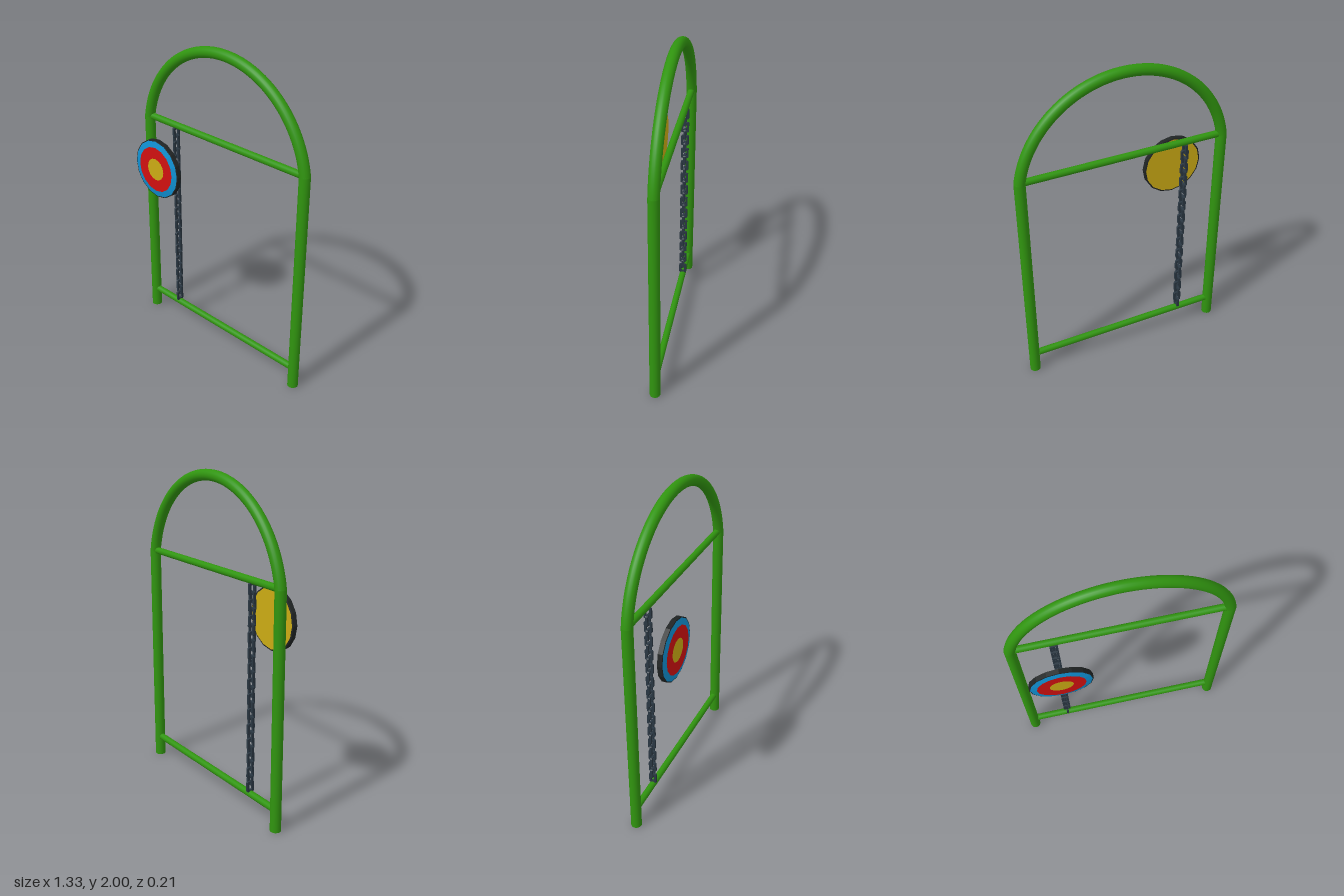
import * as THREE from 'three';

const material = (name, color, side = THREE.FrontSide) => {
  const m = new THREE.MeshStandardMaterial({ color, side });
  m.name = name;
  return m;
};

export function createModel() {
  const model = new THREE.Group();
  model.name = 'targetFrame';
  const green = material('green paint', 0x30940f);
  const steel = material('dark steel', 0x2a3742);
  const black = material('black rubber', 0x202424);
  const blue = material('blue', 0x1090d2);
  const red = material('red', 0xd01010);
  const yellow = material('yellow', 0xcbab14);

  const add = (parent, name, geometry, mat, x = 0, y = 0, z = 0) => {
    const mesh = new THREE.Mesh(geometry, mat);
    mesh.name = name;
    mesh.position.set(x, y, z);
    parent.add(mesh);
    return mesh;
  };

  // Tubular frame: two legs and an arch meeting them at a slight bend
  const frame = new THREE.Group();
  frame.name = 'frame';
  frame.position.z = -0.073;
  model.add(frame);
  const R = 0.033, legX = 0.633, legTop = 1.43, archRise = 0.537;
  const archR = (legX ** 2 + archRise ** 2) / (2 * archRise);
  const archY = legTop + archRise - archR;
  const start = Math.asin((legTop - archY) / archR);
  for (const s of [-1, 1]) {
    const side = s > 0 ? 'left' : 'right';
    add(frame, side + 'Leg', new THREE.CylinderGeometry(R, R, legTop, 24), green, s * legX, legTop / 2);
    add(frame, side + 'Bend', new THREE.SphereGeometry(R, 24, 16), green, s * legX, legTop);
  }
  const arch = new THREE.TorusGeometry(archR, R, 20, 64, Math.PI - 2 * start).rotateZ(start);
  add(frame, 'arch', arch, green, 0, archY);

  // Horizontal bars
  for (const [name, y] of [['upperBar', 1.434], ['lowerBar', 0.13]]) {
    add(frame, name, new THREE.CylinderGeometry(0.021, 0.021, 1.25, 20).rotateZ(Math.PI / 2), green, 0, y);
  }

  // Chain: chamfered rectangular links, every other one turned a quarter
  const chain = new THREE.Group();
  chain.name = 'chain';
  chain.position.set(-0.39, 0, -0.073);
  model.add(chain);
  const outline = (w, h, c) => [
    [w - c, -h], [w, c - h], [w, h - c], [w - c, h],
    [c - w, h], [-w, h - c], [-w, c - h], [c - w, -h],
  ].map(([x, y]) => new THREE.Vector2(x, y));
  const linkShape = new THREE.Shape(outline(0.024, 0.034, 0.005));
  linkShape.holes.push(new THREE.Path(outline(0.011, 0.021, 0.002).reverse()));
  const link = new THREE.ExtrudeGeometry(linkShape, { depth: 0.014, bevelEnabled: false }).translate(0, 0, -0.007);
  for (let i = 0; i < 27; i++) {
    const mesh = add(chain, 'chainLink', link, steel, 0, 0.1785 + i * 0.0465);
    if (i % 2 === 0) mesh.rotation.y = Math.PI / 2;
  }

  // Round target: dark rim, sloping blue ring, red ring, yellow centre and back
  const target = new THREE.Group();
  target.name = 'target';
  target.position.set(-0.39, 1.19, 0.065);
  model.add(target);
  const N = 16;
  // Flat-sided turned strip between (radius, z) points, axis along z
  const strip = (points) => {
    const g = new THREE.LatheGeometry(points.map(([r, z]) => new THREE.Vector2(r, z)), N).rotateX(Math.PI / 2).toNonIndexed();
    g.computeVertexNormals();
    return g;
  };
  add(target, 'rim', strip([[0.181, 0], [0.19, 0.003], [0.19, 0.031], [0.184, 0.033]]), black);
  add(target, 'blueRing', strip([[0.184, 0.033], [0.146, 0.041]]), blue);
  // Lathe segments start on the z-axis, so the flat discs share corners at 16 sides
  add(target, 'redRing', new THREE.RingGeometry(0.071, 0.146, N), red, 0, 0, 0.041);
  add(target, 'bullseye', new THREE.CircleGeometry(0.071, N), yellow, 0, 0, 0.041);
  add(target, 'targetBack', new THREE.CircleGeometry(0.181, N).rotateY(Math.PI), yellow);

  return model;
}
